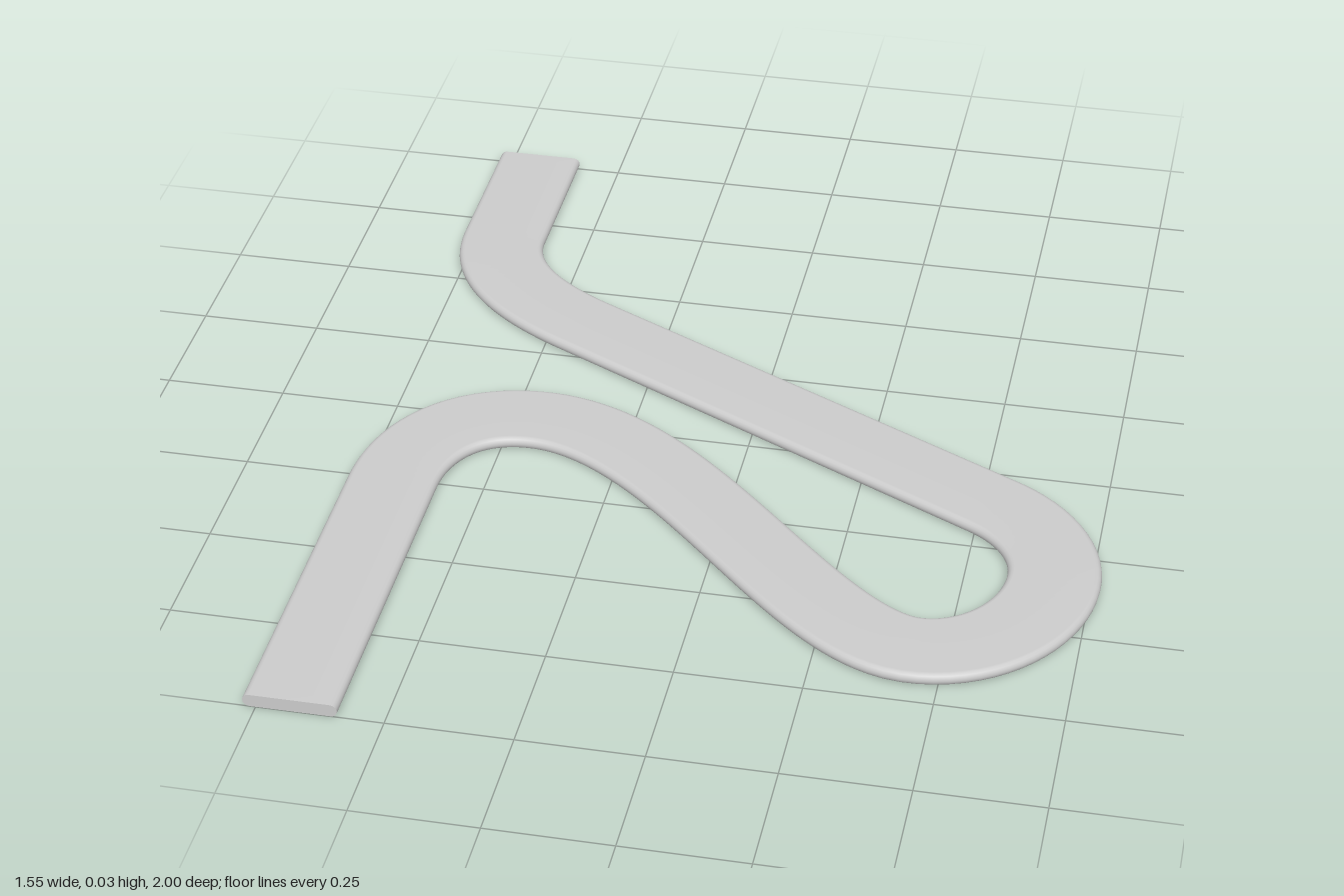
import * as THREE from 'three';

const HALF_WIDTH = 0.0925, HEIGHT = 0.027, STEPS = 220, ARC = 8;
const v = (x, z) => new THREE.Vector3(x, 0, z);

// Centre line of the winding strip, from the front end to the back end
function centreLine() {
  const path = new THREE.CurvePath();
  const line = (a, b) => path.add(new THREE.LineCurve3(v(...a), v(...b)));
  const bend = (a, b, c, d) => path.add(new THREE.CubicBezierCurve3(v(...a), v(...b), v(...c), v(...d)));
  line([-0.683, 1], [-0.683, 0.28]);
  bend([-0.683, 0.28], [-0.683, 0.12], [-0.59, 0.01], [-0.44, 0.01]);
  bend([-0.44, 0.01], [-0.12, 0.01], [0.21, 0.613], [0.44, 0.613]);
  bend([0.44, 0.613], [0.57, 0.613], [0.678, 0.49], [0.678, 0.35]);
  bend([0.678, 0.35], [0.678, 0.26], [0.62, 0.175], [0.53, 0.13]);
  line([0.53, 0.13], [-0.43, -0.35]);
  bend([-0.43, -0.35], [-0.59, -0.43], [-0.683, -0.53], [-0.683, -0.66]);
  line([-0.683, -0.66], [-0.683, -1]);
  return path;
}

// Flat cross-section with half-round sides, as [sideways, up] pairs
function crossSection() {
  const r = HEIGHT / 2, pts = [];
  for (const side of [1, -1]) {
    for (let i = 0; i <= ARC; i++) {
      const a = -Math.PI / 2 + (Math.PI * i) / ARC;
      pts.push([side * (HALF_WIDTH - r + r * Math.cos(a)), r + side * r * Math.sin(a)]);
    }
  }
  return pts;
}

function sweep(path, profile) {
  const pos = [], index = [], n = profile.length;
  const addRing = (t) => {
    const p = path.getPoint(t), d = path.getTangent(t);
    for (const [s, y] of profile) pos.push(p.x - d.z * s, y, p.z + d.x * s);
  };
  for (let i = 0; i <= STEPS; i++) addRing(i / STEPS);
  for (let i = 0; i < STEPS; i++) {
    for (let j = 0; j < n; j++) {
      const a = i * n + j, b = i * n + ((j + 1) % n);
      index.push(a, a + n, b, b, a + n, b + n);
    }
  }
  // Flat end caps with their own vertices, so the edges stay sharp
  for (const t of [0, 1]) {
    const base = pos.length / 3;
    addRing(t);
    for (let j = 1; j < n - 1; j++) {
      if (t === 0) index.push(base, base + j, base + j + 1);
      else index.push(base, base + j + 1, base + j);
    }
  }
  const geometry = new THREE.BufferGeometry();
  geometry.setAttribute('position', new THREE.Float32BufferAttribute(pos, 3));
  geometry.setIndex(index);
  geometry.computeVertexNormals();
  return geometry;
}

export function createModel() {
  const group = new THREE.Group();
  group.name = 'windingTrack';
  const strip = new THREE.Mesh(
    sweep(centreLine(), crossSection()),
    new THREE.MeshStandardMaterial({ color: 0xcccccc })
  );
  strip.name = 'trackStrip';
  group.add(strip);
  return group;
}
